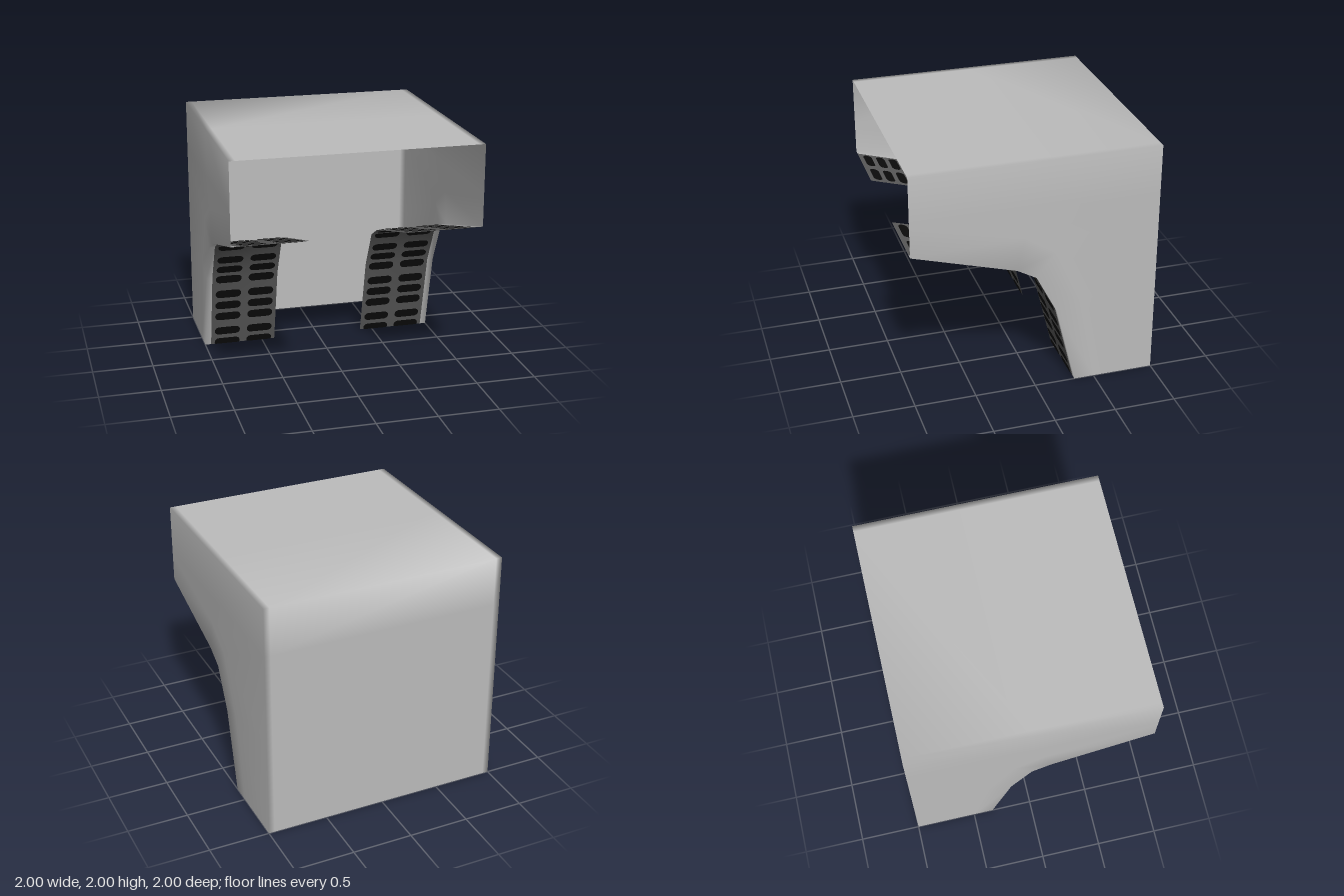
import * as THREE from 'three';
import { mergeVertices } from 'three/addons/utils/BufferGeometryUtils.js';

// underside arch as [z, y], from the foot up to the front edge
const ARCH = [[-0.335, 0], [-0.17, 0.67], [0, 1], [0.16, 1.09], [1, 1.335]];

// push triangles of a grid of points, skipping collapsed ones
function addGrid(out, rows, flip) {
  const tri = (a, b, c) => {
    const n = b.clone().sub(a).cross(c.clone().sub(a));
    if (n.length() < 1e-9) return;
    for (const p of flip ? [a, c, b] : [a, b, c]) out.push(p.x, p.y, p.z);
  };
  for (let i = 0; i + 1 < rows.length; i++) {
    for (let j = 0; j + 1 < rows[i].length; j++) {
      const a = rows[i][j], b = rows[i][j + 1], c = rows[i + 1][j + 1], d = rows[i + 1][j];
      tri(a, b, c);
      tri(a, c, d);
    }
  }
}

function smoothGeometry(positions) {
  const raw = new THREE.BufferGeometry();
  raw.setAttribute('position', new THREE.Float32BufferAttribute(positions, 3));
  const geo = mergeVertices(raw, 1e-4);
  geo.computeVertexNormals();
  return geo;
}

// point on the arch at arc length s, lifted off the surface by lift
function archPoint(s, lift, x) {
  for (let i = 0; i + 1 < ARCH.length; i++) {
    const [z0, y0] = ARCH[i], [z1, y1] = ARCH[i + 1];
    const len = Math.hypot(z1 - z0, y1 - y0);
    if (s <= len + 1e-6 || i === ARCH.length - 2) {
      const dz = (z1 - z0) / len, dy = (y1 - y0) / len;
      return new THREE.Vector3(x, y0 + dy * s - dz * lift, z0 + dz * s + dy * lift);
    }
    s -= len;
  }
}

export function createModel() {
  const group = new THREE.Group();
  const material = (name, color) => {
    const m = new THREE.MeshStandardMaterial({ color, side: THREE.DoubleSide });
    m.name = name;
    return m;
  };
  const grey = material('lightGrey', 0xbcbcbc);
  const dark = material('darkGrey', 0x5a5a5a);
  const black = material('black', 0x0b0b0b);
  const add = (name, positions, mat) => {
    const mesh = new THREE.Mesh(smoothGeometry(positions), mat);
    mesh.name = name;
    group.add(mesh);
  };

  // shell: roof and back in one sheet, open at the front and bottom
  const shell = [];
  const spine = [[1, 2], [0, 2], [-1, 2], [-1, 1.6], [-1, 0.8], [-1, 0]];
  addGrid(shell, spine.map(([z, y]) => [-1, -0.95, 0.95, 1].map(x => new THREE.Vector3(x, y, z))));

  // side walls: loops from the roof edge down to the arch, turned in to a lip
  const loops = [
    [[-1, 2], [-1, 2], [-1, 2], [0, 2], [1, 2]],
    [[-1, 0], [-1, 0.8], [-1, 1.6], [0, 1.6], [1, 1.6]],
    [[-0.5, 0], [-0.36, 0.74], [-0.15, 1.2], [0.1, 1.36], [1, 1.57]],
    ARCH,
  ];
  for (const side of [1, -1]) {
    const rows = loops.map(loop => loop.map(([z, y]) => new THREE.Vector3(side, y, z)));
    rows.push(ARCH.map(([z, y]) => new THREE.Vector3(side * 0.95, y, z)));
    addGrid(shell, rows, side < 0);
  }
  add('shell', shell, grey);

  for (const side of [1, -1]) {
    const label = side > 0 ? 'left' : 'right';

    // curved panel following the arch
    const panel = [];
    addGrid(panel, [0.95, 0.39].map(x => ARCH.map(([z, y]) => new THREE.Vector3(side * x, y, z))), side < 0);
    add(label + 'Panel', panel, dark);

    // rounded slots in groups of three, two columns, on both faces
    const slots = [];
    for (let set = 0; set < 6; set++) {
      for (let k = 0; k < 3; k++) {
        const s = -0.095 + set * 0.382 + k * 0.115;
        if (s < 0) continue;
        for (const cx of [0.81, 0.53]) {
          if (s > 2.08) continue;
          for (const lift of [0.004, -0.004]) {
            const rows = [];
            for (let i = 0; i <= 8; i++) {
              const a = -Math.PI / 2 + (i / 8) * Math.PI;
              const t = Math.max(0, s + 0.038 * Math.sin(a));
              const half = 0.072 + 0.038 * Math.cos(a);
              rows.push([cx + half, cx - half].map(x => archPoint(t, lift, side * x)));
            }
            addGrid(slots, rows, (side > 0) !== (lift > 0));
          }
        }
      }
    }
    add(label + 'Slots', slots, black);
  }
  return group;
}
